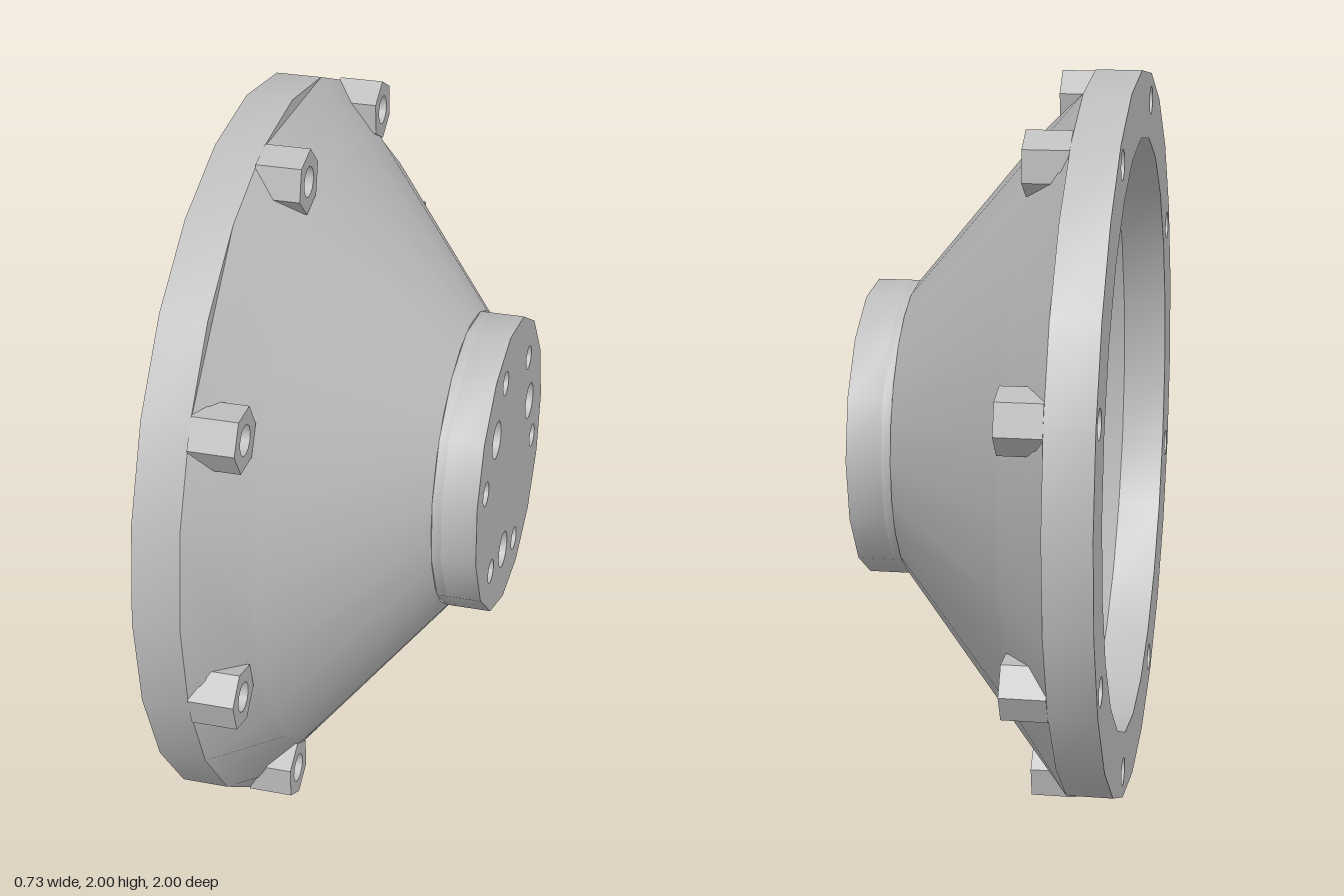
import * as THREE from 'three';
import { toCreasedNormals } from 'three/addons/utils/BufferGeometryUtils.js';

const RAD = Math.PI / 180;
const SIDES = 24;
const CREASE = 0.6;
const BACK = -0.37, RIM = -0.245, BOSS = -0.125, HUB = 0.24, FACE = 0.36;
const HUB_R = 0.41, SPLIT_R = 0.84, INNER_R = 0.82;
const SLOPE = (HUB - RIM) / (1 - HUB_R);
const coneZ = (r) => RIM + (1 - r) * SLOPE;

const polar = (r, deg) => new THREE.Vector2(r * Math.cos(deg * RAD), r * Math.sin(deg * RAD));

// Regular polygon points round a centre
function ring(r, sides, phase = 0, centre = new THREE.Vector2()) {
  return Array.from({ length: sides }, (_, i) => polar(r, phase + (i * 360) / sides).add(centre));
}

function shapeOf(points, holes = []) {
  const shape = new THREE.Shape(points);
  for (const h of holes) shape.holes.push(new THREE.Path(h));
  return shape;
}

// Plate between two depths along the axis
function plate(points, holes, z0, z1) {
  const g = new THREE.ExtrudeGeometry(shapeOf(points, holes), { depth: z1 - z0, bevelEnabled: false });
  g.translate(0, 0, z0);
  return toCreasedNormals(g, CREASE);
}

function lathe(profile) {
  const g = new THREE.LatheGeometry(profile.map(([r, z]) => new THREE.Vector2(r, z)), SIDES);
  g.rotateX(Math.PI / 2);
  return toCreasedNormals(g, CREASE);
}

// Outer sector of the cone, pierced by one bolt hole
function conePanel(start, hole) {
  const step = 360 / SIDES;
  const angles = [0, 1, 2, 3].map((i) => start + i * step);
  const points = [...angles.map((a) => polar(1, a)), ...angles.reverse().map((a) => polar(SPLIT_R, a))];
  const g = new THREE.ShapeGeometry(shapeOf(points, [hole]));
  const pos = g.attributes.position, nor = g.attributes.normal;
  const n = new THREE.Vector3();
  for (let i = 0; i < pos.count; i++) {
    const x = pos.getX(i), y = pos.getY(i), r = Math.hypot(x, y);
    // distance across the facet, so each facet stays flat
    const a = Math.atan2(y, x) / RAD + 720;
    const off = (a % step) - step / 2;
    const flatR = (r * Math.cos(off * RAD)) / Math.cos((step / 2) * RAD);
    pos.setZ(i, coneZ(flatR));
    n.set((SLOPE * x) / r, (SLOPE * y) / r, 1).normalize();
    nor.setXYZ(i, n.x, n.y, n.z);
  }
  return g;
}

export function createModel() {
  const grey = new THREE.MeshStandardMaterial({ color: 0xbcbcbc });
  grey.name = 'grey metal';
  const body = new THREE.Group();
  body.name = 'flangedCone';
  const add = (name, geometry) => {
    const mesh = new THREE.Mesh(geometry, grey);
    mesh.name = name;
    body.add(mesh);
  };

  // Bolt circle
  const boltAngles = Array.from({ length: 8 }, (_, i) => 16 + i * 45);
  const boltHoles = boltAngles.map((a) => ring(0.04, 12, a, polar(0.927, a)));

  // Rim
  add('rim', plate(ring(1, SIDES), [ring(INNER_R, SIDES), ...boltHoles], BACK, RIM));

  // Hexagonal bosses and the cone sectors around them
  boltAngles.forEach((a, i) => {
    add('boss', plate(ring(0.084, 6, a + 30, polar(0.927, a)), [boltHoles[i]], RIM, BOSS));
    add('conePanel', conePanel(-15 + i * 45, boltHoles[i]));
  });

  // Cone, outside and inside
  add('coneOutside', lathe([[SPLIT_R, coneZ(SPLIT_R)], [HUB_R, HUB], [0.38, HUB]]));
  add('coneInside', lathe([[0.345, HUB], [INNER_R, RIM]]));

  // Hub: six through holes and three blind holes
  const through = Array.from({ length: 6 }, (_, i) => ring(0.034, 12, 0, polar(0.306, 46 + i * 60)));
  const blind = Array.from({ length: 3 }, (_, i) => ring(0.052, 16, 0, polar(0.25, 16 + i * 120)));
  const outline = ring(HUB_R, 15);
  add('hubFloor', plate(outline, through, HUB, 0.265));
  add('hubFace', plate(outline, [...through, ...blind], 0.265, FACE));

  // Turn the axis to +x and stand it on the ground
  body.rotation.y = Math.PI / 2;
  body.position.y = 1;
  const model = new THREE.Group();
  model.name = 'model';
  model.add(body);
  return model;
}
